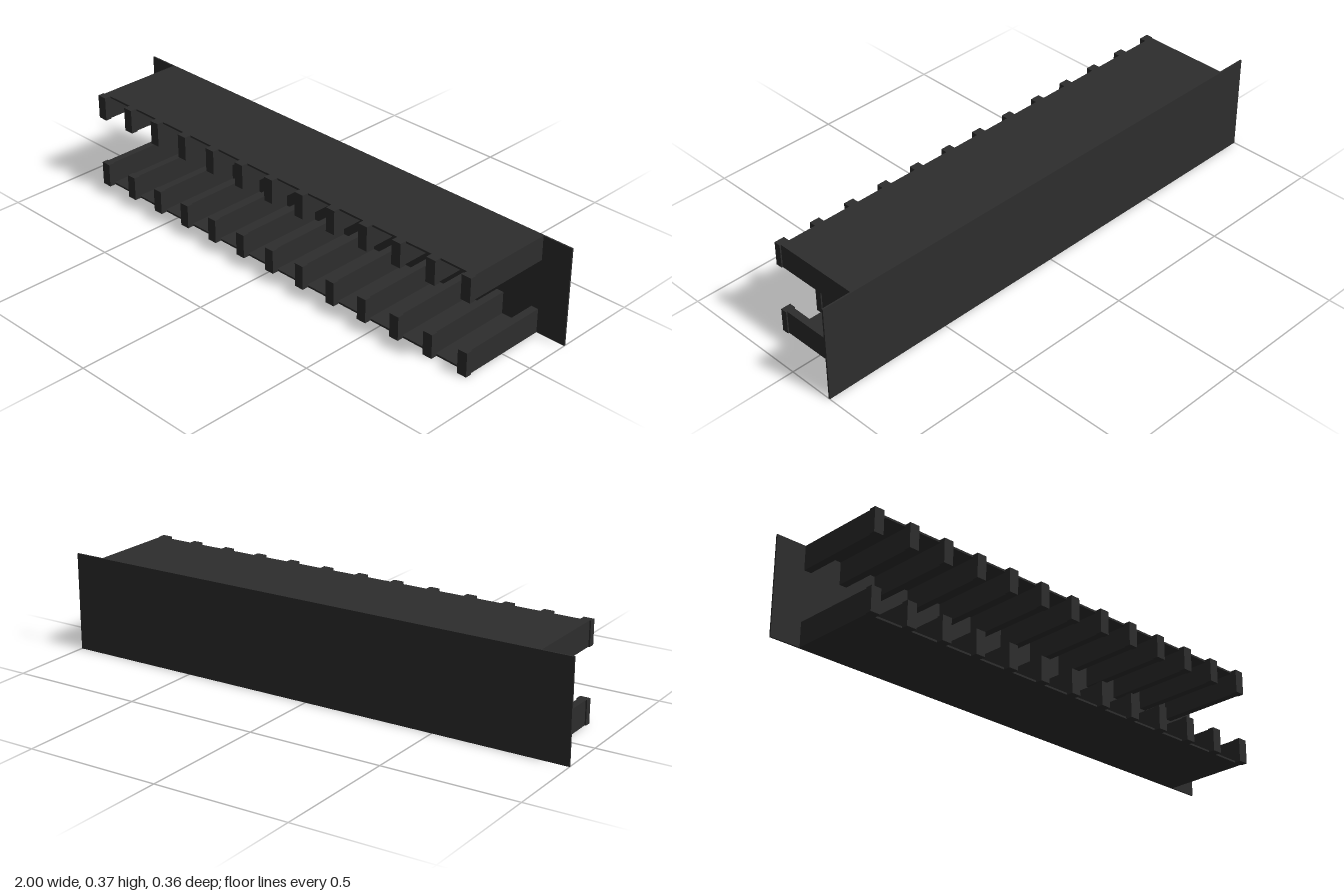
import * as THREE from 'three';

export function createModel() {
  const group = new THREE.Group();
  const black = new THREE.MeshStandardMaterial({ color: 0x2d2d2d });
  black.name = 'blackPlastic';

  // Box given by its lower and upper limits on each axis
  function box(name, x0, x1, y0, y1, z0, z1, parent = group) {
    const mesh = new THREE.Mesh(new THREE.BoxGeometry(x1 - x0, y1 - y0, z1 - z0), black);
    mesh.position.set((x0 + x1) / 2, (y0 + y1) / 2, (z0 + z1) / 2);
    mesh.name = name;
    parent.add(mesh);
  }

  const height = 0.366, finHeight = 0.09, skin = 0.007;
  const back = -0.182, plateFront = -0.176, shelfFront = 0.157, front = 0.182;
  const finCount = 13, finSpan = 0.872, wallHalf = 0.014, headHalf = 0.019;

  // Wide mounting plate
  box('backPlate', -1, 1, 0, height, back, plateFront);

  // Bottom and top combs: a thin shelf carrying fins that face inwards
  for (const top of [false, true]) {
    const comb = new THREE.Group();
    comb.name = top ? 'topComb' : 'bottomComb';
    group.add(comb);
    const y0 = top ? height - finHeight : 0;
    const y1 = y0 + finHeight;
    const shelfY = top ? height - skin : 0;
    const edge = finSpan + wallHalf;
    box('shelf', -edge, edge, shelfY, shelfY + skin, plateFront, shelfFront, comb);

    for (let i = 0; i < finCount; i++) {
      const x = -finSpan + (2 * finSpan * i) / (finCount - 1);
      box('fin', x - wallHalf, x + wallHalf, y0, y1, plateFront, shelfFront, comb);
      // Thickened retaining head at the front of the fin
      box('finHead', x - headHalf, x + headHalf, y0, y1, shelfFront, front, comb);
    }
  }
  return group;
}
